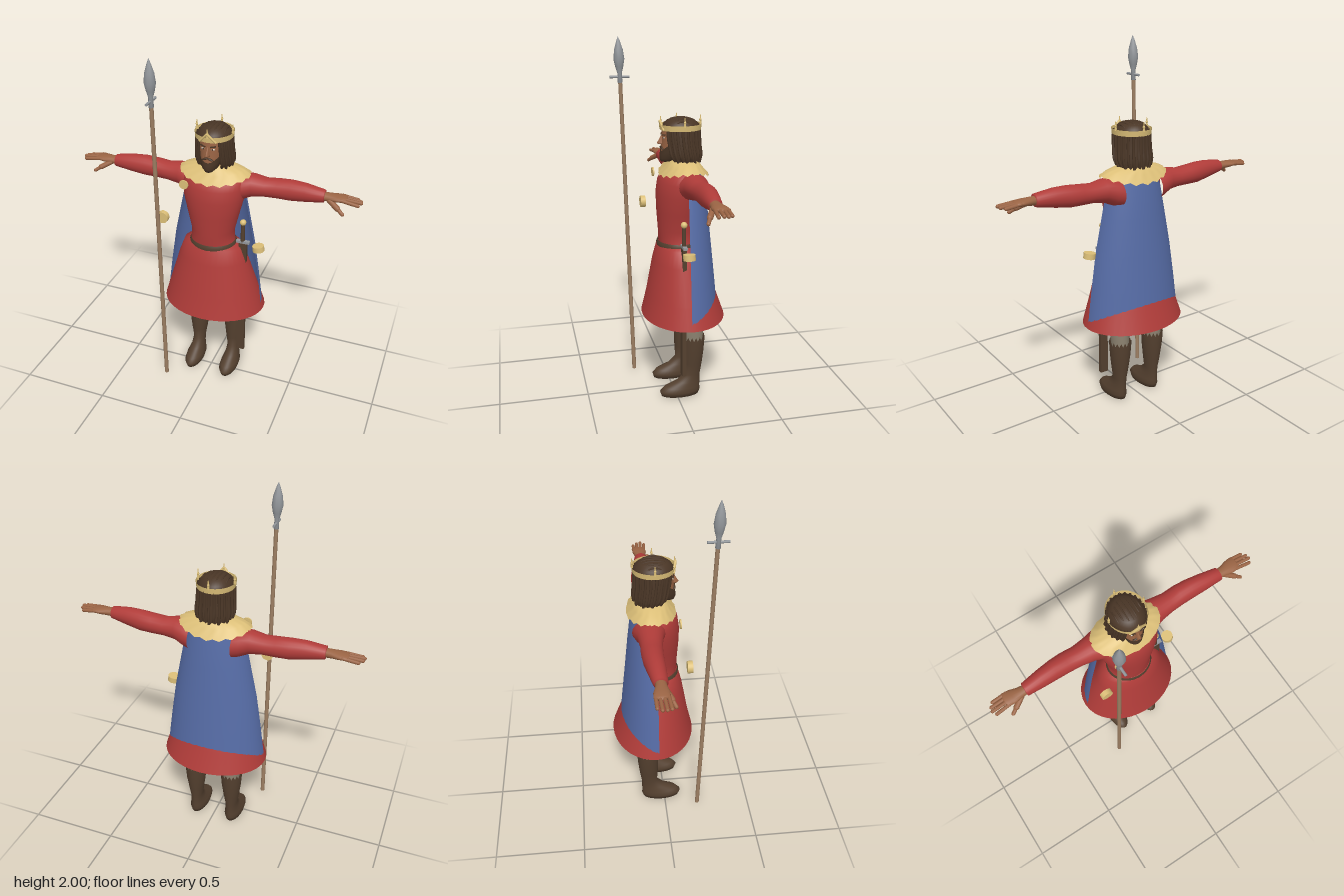
import * as THREE from 'three';

const mat = (name, color, side = THREE.FrontSide) => {
  const m = new THREE.MeshStandardMaterial({ color, side });
  m.name = name;
  return m;
};
const V = (x, y, z) => new THREE.Vector3(x, y, z);
const N = 36;

// Horizontal elliptical cross-section; lift raises the sides, jag lowers odd points
function ring([y, rx, zc, rz, lift = 0, xc = 0, jag = 0], from = 0, to = Math.PI * 2, n = N) {
  const pts = [];
  for (let i = 0; i < n; i++) {
    const a = from + (to - from) * i / (to - from > 6.28 ? n : n - 1);
    const c = Math.cos(a), s = Math.sin(a);
    pts.push(V(xc + rx * c, y + lift * c * c - (i % 2) * jag, zc + rz * s));
  }
  return pts;
}

// Skin a surface over rows of points, bottom to top
function loft(rows, closed = true, flip = false) {
  const n = rows[0].length, pos = [], idx = [];
  rows.forEach(r => r.forEach(p => pos.push(p.x, p.y, p.z)));
  for (let j = 0; j < rows.length - 1; j++) {
    for (let i = 0; i < (closed ? n : n - 1); i++) {
      const a = j * n + i, b = j * n + (i + 1) % n, c = a + n, d = b + n;
      if (flip) idx.push(a, b, c, b, d, c);
      else idx.push(a, c, b, b, c, d);
    }
  }
  const g = new THREE.BufferGeometry();
  g.setAttribute('position', new THREE.Float32BufferAttribute(pos, 3));
  g.setIndex(idx);
  g.computeVertexNormals();
  return g;
}
const body = (list, flip) => loft(list.map(r => ring(r)), true, flip);

export function createModel() {
  const root = new THREE.Group();
  root.name = 'spearBearer';
  const skin = mat('skin', 0x9a6444), hair = mat('hair brown', 0x4a3626, THREE.DoubleSide);
  const red = mat('tunic red', 0xb03c39), blue = mat('cape blue', 0x566ca6, THREE.DoubleSide);
  const gold = mat('gold', 0xdcbf78, THREE.DoubleSide), leather = mat('leather', 0x54402f, THREE.DoubleSide);
  const cloth = mat('trouser grey', 0x8c8270), wood = mat('shaft wood', 0x9c7e62);
  const steel = mat('steel', 0x93979b), white = mat('eye white', 0xd8d0c4);

  const add = (name, geo, material, x = 0, y = 0, z = 0) => {
    const m = new THREE.Mesh(geo, material);
    m.name = name;
    m.position.set(x, y, z);
    root.add(m);
    return m;
  };
  // Straight round part between two points
  const rod = (name, a, b, r1, r2, material, round = false) => {
    const len = a.distanceTo(b);
    const geo = round ? new THREE.CapsuleGeometry(r1, len, 4, 10) : new THREE.CylinderGeometry(r2, r1, len, 10);
    const m = add(name, geo, material);
    m.position.copy(a).lerp(b, 0.5);
    m.quaternion.setFromUnitVectors(V(0, 1, 0), b.clone().sub(a).normalize());
    return m;
  };

  // Tunic, skirt with pale lining, belt
  add('torso', body([
    [0.87, 0.14, -0.03, 0.1], [0.92, 0.122, -0.03, 0.108], [0.98, 0.122, -0.03, 0.11], [1.08, 0.146, -0.03, 0.117],
    [1.18, 0.17, -0.035, 0.125], [1.25, 0.175, -0.042, 0.122], [1.29, 0.17, -0.05, 0.11],
    [1.325, 0.135, -0.058, 0.085], [1.36, 0.06, -0.055, 0.055]]), red);
  const skirt = [[0.475, 0.3, -0.058, 0.232], [0.6, 0.262, -0.05, 0.195], [0.8, 0.2, -0.035, 0.145],
    [0.885, 0.168, -0.03, 0.118], [0.9, 0.125, -0.03, 0.1]];
  add('skirt', body(skirt), red);
  add('skirtLining', body(skirt.map(([y, rx, z, rz]) => [y, rx - 0.004, z, rz - 0.004]), true), gold);
  add('belt', body([[0.887, 0.132, -0.03, 0.117, 0, 0, 0.006], [0.9, 0.134, -0.03, 0.119], [0.915, 0.126, -0.03, 0.113]]), leather);

  // Cape wrapped around the back
  add('cape', loft([[0.48, 0.292, -0.045, 0.207], [0.7, 0.264, -0.045, 0.186], [0.9, 0.235, -0.045, 0.165],
    [1.1, 0.195, -0.048, 0.142], [1.3, 0.155, -0.05, 0.117], [1.32, 0.14, -0.055, 0.1]]
    .map(r => ring(r, Math.PI, Math.PI * 2)), false), blue);

  // Ragged shoulder collar
  add('collar', body([[1.29, 0.2, -0.06, 0.132, 0.035, 0, 0.014], [1.325, 0.16, -0.06, 0.1, 0.02],
    [1.35, 0.1, -0.06, 0.083, 0.01], [1.372, 0.055, -0.05, 0.058]]), gold);

  for (const s of [1, -1]) {
    // Sleeve and hand, lofted outwards along x
    const arm = (list) => loft(list.map(([x, yc, ry, zc, rz]) => Array.from({ length: 20 }, (_, i) => {
      const a = i / 20 * Math.PI * 2;
      return V(s * x, yc + ry * Math.cos(a), zc + rz * Math.sin(a));
    })), true, s > 0);
    add('sleeve', arm([[0.12, 1.23, 0.075, -0.08, 0.09], [0.16, 1.242, 0.074, -0.08, 0.082], [0.21, 1.255, 0.063, -0.08, 0.067],
      [0.28, 1.254, 0.052, -0.082, 0.057], [0.35, 1.258, 0.055, -0.085, 0.056], [0.42, 1.261, 0.058, -0.083, 0.053],
      [0.5, 1.266, 0.051, -0.076, 0.047], [0.6, 1.268, 0.034, -0.068, 0.037], [0.603, 1.268, 0.022, -0.068, 0.025]]), red);
    add('palm', arm([[0.59, 1.267, 0.024, -0.068, 0.026], [0.63, 1.268, 0.022, -0.068, 0.03], [0.67, 1.27, 0.018, -0.07, 0.04],
      [0.71, 1.272, 0.014, -0.073, 0.04], [0.725, 1.272, 0, -0.073, 0]]), skin);
    [0.77, 0.788, 0.792, 0.78].forEach((tip, i) => {
      const z = -0.102 + i * 0.02;
      rod('finger', V(s * 0.69, 1.272, z), V(s * tip, 1.262 + (i % 3) * 0.003, z * 1.1 + 0.012), 0.0095, 0, skin, true);
    });
    rod('thumbBase', V(s * 0.63, 1.258, -0.05), V(s * 0.68, 1.232, -0.022), 0.015, 0, skin, true);
    rod('thumbTip', V(s * 0.68, 1.232, -0.022), V(s * 0.71, 1.212, -0.007), 0.01, 0, skin, true);

    // Trouser leg and boot with ragged cuff
    const x = s * 0.112;
    add('trouserLeg', body([[0.28, 0.045, -0.095, 0.05, 0, x], [0.38, 0.048, -0.092, 0.06, 0, x],
      [0.48, 0.053, -0.075, 0.073, 0, x], [0.88, 0.068, -0.05, 0.08, 0, s * 0.075]]), cloth);
    add('boot', body([[0, 0, -0.02, 0, 0, x], [0.003, 0.047, -0.02, 0.108, 0, x], [0.03, 0.054, -0.02, 0.117, 0, x],
      [0.055, 0.049, -0.03, 0.104, 0, x], [0.085, 0.038, -0.066, 0.07, 0, x], [0.13, 0.035, -0.09, 0.046, 0, x],
      [0.2, 0.046, -0.093, 0.054, 0, x], [0.28, 0.057, -0.096, 0.06, 0, x], [0.345, 0.062, -0.097, 0.063, 0, x],
      [0.375, 0.063, -0.097, 0.064, 0, x, 0.022]]), leather);

    // Eyes and brows
    const eye = add('eye', new THREE.SphereGeometry(1, 12, 8), white, s * 0.027, 1.488, 0.0525);
    eye.scale.set(0.011, 0.005, 0.004);
    const iris = add('iris', new THREE.SphereGeometry(1, 10, 8), hair, s * 0.026, 1.488, 0.055);
    iris.scale.set(0.0048, 0.005, 0.003);
    const brow = add('brow', new THREE.BoxGeometry(0.032, 0.006, 0.008), hair, s * 0.028, 1.503, 0.053);
    brow.rotation.set(0, s * 0.35, s * 0.12);
    const moustache = add('moustache', new THREE.SphereGeometry(1, 12, 8), hair, s * 0.014, 1.433, 0.06);
    moustache.scale.set(0.02, 0.006, 0.008);
    moustache.rotation.z = -s * 0.35;
  }

  // Head, nose, mouth and beard
  rod('neck', V(0, 1.33, -0.05), V(0, 1.41, -0.04), 0.05, 0.047, skin);
  add('face', body([[1.37, 0, 0.02, 0], [1.376, 0.03, 0.025, 0.037], [1.4, 0.05, 0.005, 0.058], [1.44, 0.062, -0.01, 0.071],
    [1.475, 0.067, -0.016, 0.074], [1.5, 0.07, -0.02, 0.079], [1.55, 0.07, -0.03, 0.083]]), skin);
  add('nose', body([[1.448, 0, 0.06, 0], [1.452, 0.014, 0.058, 0.022], [1.458, 0.012, 0.058, 0.027],
    [1.475, 0.008, 0.056, 0.018], [1.5, 0.006, 0.052, 0.009]]), skin);
  add('beard', body([[1.352, 0, 0.04, 0], [1.357, 0.022, 0.036, 0.028], [1.375, 0.043, 0.02, 0.05],
    [1.395, 0.057, 0.006, 0.063, 0.02], [1.413, 0.066, -0.006, 0.073, 0.05]]), hair);

  // Parted hair: open curtain around the face, crown cap, and raised locks
  const gap = 0.66, hairRows = [[1.365, 0.09, -0.068, 0.083, 0, 0, 0.012], [1.39, 0.102, -0.06, 0.096],
    [1.45, 0.098, -0.05, 0.1], [1.5, 0.095, -0.045, 0.103], [1.545, 0.09, -0.045, 0.103]];
  add('hairCurtain', loft(hairRows.map(r => ring(r, Math.PI / 2 + gap, Math.PI * 2.5 - gap - 1e-3)), false), hair);
  add('hairCap', body([[1.535, 0.092, -0.045, 0.104], [1.56, 0.083, -0.045, 0.095], [1.578, 0.062, -0.045, 0.073],
    [1.588, 0.034, -0.045, 0.043], [1.591, 0, -0.045, 0]]), hair);
  for (let i = 0; i <= 18; i++) {
    const a = Math.PI / 2 + gap + (Math.PI * 2 - 2 * gap) * i / 18;
    const pts = hairRows.map(([y, rx, z, rz], k) =>
      V(rx * Math.cos(a), y - (k === 0 ? 0.012 * (i % 2) : 0), z + rz * Math.sin(a)));
    add('hairLock', new THREE.TubeGeometry(new THREE.CatmullRomCurve3(pts), 10, 0.008, 6), hair);
  }
  for (let i = -3; i <= 3; i++) {
    const pts = [-1, -0.6, 0, 0.6, 1].map(t => V(i * 0.022,
      1.537 + 0.052 * Math.sqrt(Math.max(0, 1 - t * t * 0.95 - i * i * 0.05)), -0.045 + t * (0.1 - i * i * 0.004)));
    add('topLock', new THREE.TubeGeometry(new THREE.CatmullRomCurve3(pts), 14, 0.005, 6), hair);
  }

  // Crown: band, four points and a peaked brow piece
  add('crownBand', body([[1.527, 0.101, -0.045, 0.11], [1.557, 0.104, -0.045, 0.113]]), gold);
  for (let i = 0; i < 4; i++) {
    const a = i * Math.PI / 2, px = 0.1 * Math.cos(a), pz = -0.045 + 0.109 * Math.sin(a);
    rod('crownPoint', V(px, 1.55, pz), V(px, 1.6, pz), 0.007, 0.002, gold);
    add('crownBead', new THREE.SphereGeometry(0.007, 8, 6), gold, px, 1.574, pz);
  }
  for (const s of [1, -1]) rod('crownBrow', V(0, 1.575, 0.068), V(s * 0.045, 1.527, 0.055), 0.007, 0.006, gold);

  // Loose gold discs: chest brooch, floating disc, hip disc
  const disc = (name, r, h, x, y, z) => add(name, new THREE.CylinderGeometry(r, r, h, 20), gold, x, y, z);
  disc('brooch', 0.026, 0.008, -0.128, 1.272, 0.083).rotation.x = Math.PI / 2;
  disc('floatingDisc', 0.033, 0.028, -0.238, 1.073, 0.122).rotation.x = Math.PI / 2;
  disc('hipDisc', 0.033, 0.032, 0.265, 0.892, -0.032).rotation.z = 0.14;

  // Sword in its scabbard at the left hip
  add('scabbard', new THREE.BoxGeometry(0.046, 0.75, 0.022), leather, 0.178, 0.535, -0.024);
  add('swordGuard', new THREE.BoxGeometry(0.076, 0.014, 0.022), steel, 0.177, 0.92, -0.024);
  rod('swordGrip', V(0.175, 0.92, -0.024), V(0.175, 1.03, -0.024), 0.012, 0.011, leather);
  add('pommel', new THREE.SphereGeometry(0.018, 14, 10), gold, 0.175, 1.043, -0.024);

  // Spear, leaning slightly forward
  rod('spearShaft', V(-0.22, 0.02, 0.19), V(-0.22, 1.78, 0.242), 0.012, 0.011, wood);
  const leaf = [[0, 0], [0.014, 0], [0.012, 0.05], [0.022, 0.085], [0.03, 0.125], [0.024, 0.175], [0.01, 0.22], [0, 0.245]];
  add('spearHead', new THREE.LatheGeometry(leaf.map(p => new THREE.Vector2(...p)), 10), steel, -0.22, 1.755, 0.242).rotation.x = 0.03;
  rod('spearCrossbar', V(-0.22, 1.786, 0.19), V(-0.22, 1.786, 0.298), 0.007, 0.007, steel);
  return root;
}
